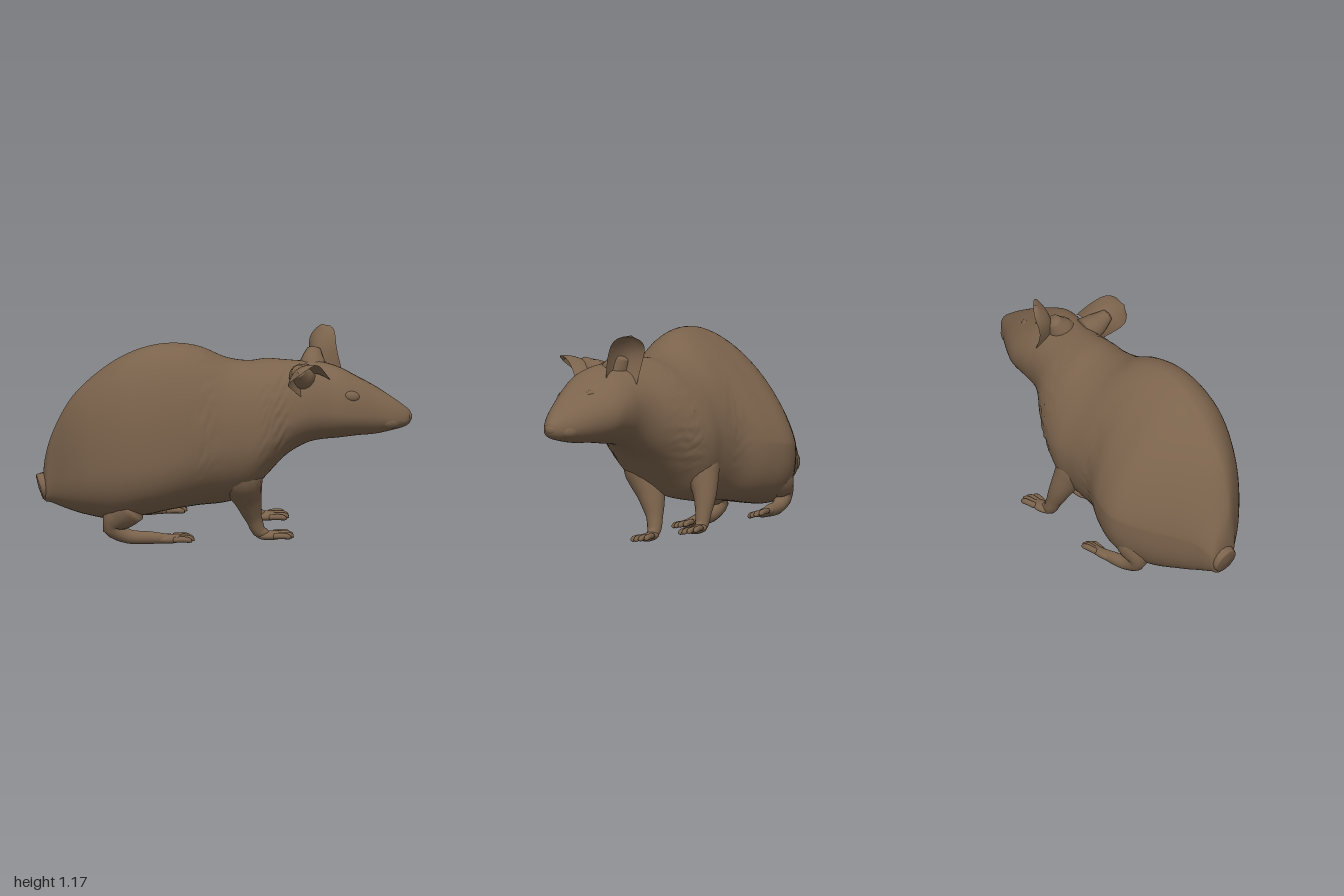
import * as THREE from 'three';

const fur = new THREE.MeshStandardMaterial({ color: 0x7b634c });
fur.name = 'brown fur';
fur.side = THREE.DoubleSide;
const V = (x, y, z) => new THREE.Vector3(x, y, z);
const { lerp, smoothstep } = THREE.MathUtils;

// Skin a list of rings (equal point counts); closed rings wrap around
function skin(rings, closed = true) {
  const n = rings[0].length, pos = [], idx = [];
  rings.forEach(r => r.forEach(p => pos.push(p.x, p.y, p.z)));
  for (let i = 0; i < rings.length - 1; i++) {
    for (let j = 0; j < (closed ? n : n - 1); j++) {
      const a = i * n + j, b = i * n + (j + 1) % n;
      idx.push(a, b, a + n, b, b + n, a + n);
    }
  }
  const g = new THREE.BufferGeometry();
  g.setAttribute('position', new THREE.Float32BufferAttribute(pos, 3));
  g.setIndex(idx);
  g.computeVertexNormals();
  return g;
}

// Rounded limb along [x, y, z, radius] stations
function limb(stations, steps = 20, sides = 14) {
  const curve = new THREE.CatmullRomCurve3(stations.map(s => V(s[0], s[1], s[2])));
  const fr = curve.computeFrenetFrames(steps), rings = [];
  for (let i = 0; i <= steps; i++) {
    const t = curve.getUtoTmapping(i / steps), f = t * (stations.length - 1);
    const k = Math.min(Math.floor(f), stations.length - 2);
    let r = lerp(stations[k][3], stations[k + 1][3], f - k);
    if (i === 0 || i === steps) r = 0.0005;
    const c = curve.getPoint(t), ring = [];
    for (let j = 0; j < sides; j++) {
      const a = j / sides * Math.PI * 2;
      ring.push(c.clone().addScaledVector(fr.normals[i], Math.cos(a) * r)
        .addScaledVector(fr.binormals[i], Math.sin(a) * r));
    }
    rings.push(ring);
  }
  return skin(rings);
}

// Cross-sections: x, top y z, bottom y z, left z y, right z y
const sections = [
  [-0.975, 0.34, -0.12, 0.28, -0.13, -0.11, 0.31, -0.14, 0.31],
  [-0.965, 0.46, -0.1, 0.22, -0.14, -0.05, 0.33, -0.2, 0.33],
  [-0.93, 0.6, -0.05, 0.21, -0.14, 0.0, 0.37, -0.22, 0.36],
  [-0.85, 0.77, 0, 0.18, -0.14, 0.11, 0.42, -0.25, 0.4],
  [-0.75, 0.89, 0.03, 0.15, -0.14, 0.21, 0.46, -0.31, 0.42],
  [-0.6, 1.01, 0.07, 0.125, -0.14, 0.3, 0.5, -0.41, 0.45],
  [-0.45, 1.08, 0.09, 0.145, -0.14, 0.34, 0.52, -0.47, 0.48],
  [-0.3, 1.105, 0.1, 0.175, -0.13, 0.35, 0.55, -0.43, 0.5],
  [-0.15, 1.085, 0.09, 0.195, -0.12, 0.345, 0.58, -0.345, 0.52],
  [0, 1.02, 0.07, 0.21, -0.11, 0.34, 0.6, -0.32, 0.55],
  [0.12, 1.0, 0.07, 0.25, -0.1, 0.33, 0.6, -0.32, 0.57],
  [0.22, 1.01, 0.07, 0.36, -0.07, 0.32, 0.64, -0.29, 0.61],
  [0.32, 1.005, 0.09, 0.47, -0.03, 0.3, 0.7, -0.23, 0.68],
  [0.42, 1.0, 0.12, 0.54, 0.03, 0.295, 0.74, -0.15, 0.75],
  [0.5, 1.0, 0.15, 0.57, 0.08, 0.315, 0.75, -0.11, 0.78],
  [0.6, 0.975, 0.18, 0.585, 0.12, 0.34, 0.74, -0.09, 0.78],
];
const faceSections = [
  [0.7, 0.925, 0.2, 0.6, 0.15, 0.325, 0.73, -0.065, 0.76],
  [0.8, 0.87, 0.2, 0.61, 0.17, 0.3, 0.72, 0, 0.74],
  [0.9, 0.805, 0.2, 0.632, 0.18, 0.275, 0.7, 0.08, 0.71],
  [0.96, 0.76, 0.195, 0.65, 0.185, 0.245, 0.69, 0.13, 0.7],
  [0.988, 0.735, 0.19, 0.672, 0.19, 0.215, 0.7, 0.16, 0.7],
  [0.995, 0.705, 0.19, 0.695, 0.19, 0.195, 0.7, 0.185, 0.7],
];

// Torso, neck and head as one skin with wrinkled fur at flank and nape
function bodyGeometry() {
  const all = sections.concat(faceSections);
  const rail = f => new THREE.CatmullRomCurve3(all.map(f), false, 'catmullrom', 0.5);
  const rails = [
    rail(s => V(s[0], s[1], s[2])), rail(s => V(s[0], s[6], s[5])),
    rail(s => V(s[0], s[3], s[4])), rail(s => V(s[0], s[8], s[7])),
  ];
  // Quadrant roundness: haunches, then belly and shoulders, then head
  const haunch = [0.92, 0.75, 0.75, 1.42], chest = [0.92, 0.9, 0.98, 1.12];
  const steps = 168, quarter = 18, rings = [];
  for (let i = 0; i <= steps; i++) {
    const [T, L, B, R] = rails.map(c => c.getPoint(i / steps));
    const x = T.x, ring = [], corners = [[T, L], [B, L], [B, R], [T, R]];
    const toChest = smoothstep(x, -0.4, -0.05), toHead = smoothstep(x, 0.2, 0.5);
    for (let q = 0; q < 4; q++) {
      const [v, h] = corners[q];
      const e = lerp(lerp(haunch[q], chest[q], toChest), 0.96, toHead);
      for (let j = 0; j < quarter; j++) {
        const t = (q % 2 ? 1 - j / quarter : j / quarter) * Math.PI / 2;
        const c = Math.pow(Math.max(Math.cos(t), 0), e), s = Math.pow(Math.sin(t), e);
        const p = V(x, h.y + (v.y - h.y) * c, v.z + (h.z - v.z) * s);
        const band = Math.exp(-(((x + 0.13) / 0.06) ** 2)) + Math.exp(-(((x - 0.25) / 0.08) ** 2));
        const wave = Math.sin(p.y * 95 + Math.sin(x * 55) * 2) * Math.sin(x * 60 + p.y * 17);
        const upper = smoothstep(p.y, 0.3, 0.55);
        p.z += Math.sign(p.z - v.z) * 0.008 * band * wave * upper * s;
        ring.push(p);
      }
    }
    rings.push(ring);
  }
  return skin(rings);
}

// Funnel-shaped ear from a wide root to a rounded tip; inner normal faces the opening
function earGeometry(root, tip, inner, half, curl) {
  const dir = tip.clone().sub(root), n = inner.clone();
  n.addScaledVector(dir, -n.dot(dir) / dir.lengthSq()).normalize();
  const side = n.clone().cross(dir).normalize(), rings = [];
  for (let i = 0; i <= 20; i++) {
    const u = i / 20, ring = [];
    const w = half * (u < 0.5 ? 0.9 + 0.1 * Math.sin(u * Math.PI) : Math.sqrt(1 - Math.pow(2 * u - 1, 3)));
    for (let j = 0; j <= 16; j++) {
      const v = j / 8 - 1;
      ring.push(root.clone().addScaledVector(dir, u).addScaledVector(side, v * w)
        .addScaledVector(n, curl * (v * v * (1.25 - u) - 0.4 * Math.sin(u * Math.PI))));
    }
    rings.push(ring);
  }
  return skin(rings, false);
}

export function createModel() {
  const model = new THREE.Group();
  model.name = 'rodent';
  const add = (name, geo, parent = model) => {
    const m = new THREE.Mesh(geo, fur);
    m.name = name;
    parent.add(m);
    return m;
  };
  const blob = (name, p, s, rot = [0, 0, 0]) => {
    const m = add(name, new THREE.SphereGeometry(1, 20, 14));
    m.position.set(...p);
    m.scale.set(...s);
    m.rotation.set(...rot);
  };

  add('body', bodyGeometry());
  add('tailStub', limb([[-0.88, 0.31, -0.12, 0.085], [-0.94, 0.3, -0.125, 0.08],
    [-0.98, 0.295, -0.13, 0.074], [-0.999, 0.29, -0.13, 0.066]]));

  // Ears, each with a fleshy base behind the cup
  add('rightEar', earGeometry(V(0.5, 0.96, 0.05), V(0.525, 1.178, -0.045), V(0.68, 0, -0.68), 0.098, 0.075));
  add('rightEarBase', limb([[0.47, 0.93, 0.12, 0.08], [0.47, 0.99, 0.075, 0.07], [0.48, 1.06, 0.035, 0.035]]));
  add('leftEar', earGeometry(V(0.425, 0.945, 0.25), V(0.36, 0.99, 0.468), V(0.5, -0.72, 0.2), 0.1, 0.08));
  add('leftEarBase', limb([[0.41, 0.92, 0.2, 0.08], [0.39, 0.945, 0.28, 0.065], [0.37, 0.985, 0.36, 0.03]]));

  // Eyes, nose and whisker pads
  blob('leftEye', [0.665, 0.83, 0.305], [0.045, 0.03, 0.025], [0, 0.2, -0.2]);
  blob('rightEye', [0.72, 0.868, 0.085], [0.045, 0.03, 0.025], [-0.9, -0.3, -0.3]);
  blob('nose', [0.982, 0.702, 0.19], [0.018, 0.025, 0.032]);
  blob('leftMuzzle', [0.88, 0.685, 0.24], [0.07, 0.042, 0.04], [0, 0.3, 0]);
  blob('rightMuzzle', [0.89, 0.69, 0.12], [0.07, 0.042, 0.04], [0, -0.4, 0]);

  // Legs, each with a flat paw rolled to the sloping stance, and four toes
  function leg(name, path, paw, length, width, roll) {
    const g = new THREE.Group();
    g.name = name;
    model.add(g);
    add('limb', limb(path), g);
    const [x, y, z] = paw, sole = add('paw', new THREE.SphereGeometry(1, 20, 12), g);
    sole.position.set(x, y, z);
    sole.scale.set(length, 0.025, width);
    sole.rotation.x = roll;
    for (let i = 0; i < 4; i++) {
      const k = i / 1.5 - 1, reach = length * 0.75 + 0.085 - 0.025 * Math.abs(k);
      const tz = z + k * width * 0.75, ez = z + k * width, ty = y - k * width * roll;
      add('toe', limb([[x + length * 0.2, ty + 0.004, tz, 0.016],
        [x + reach * 0.8, ty + 0.004, ez, 0.016], [x + reach, ty - 0.008, ez, 0.009]], 10, 8), g);
    }
  }
  leg('leftFrontLeg', [[0.05, 0.44, 0.15, 0.12], [0.08, 0.36, 0.125, 0.12], [0.12, 0.24, 0.07, 0.075],
    [0.155, 0.13, 0.03, 0.045], [0.19, 0.055, 0.015, 0.036], [0.25, 0.038, 0.012, 0.022]],
    [0.24, 0.036, 0.012], 0.075, 0.042, 0.15);
  leg('rightFrontLeg', [[0.05, 0.46, -0.2, 0.1], [0.08, 0.39, -0.225, 0.095], [0.12, 0.28, -0.265, 0.065],
    [0.16, 0.18, -0.28, 0.044], [0.19, 0.115, -0.285, 0.036], [0.25, 0.1, -0.29, 0.022]],
    [0.24, 0.1, -0.29], 0.07, 0.047, 0.2);
  leg('leftHindLeg', [[-0.5, 0.24, 0.13, 0.1], [-0.56, 0.18, 0.11, 0.09], [-0.62, 0.11, 0.09, 0.055],
    [-0.54, 0.052, 0.085, 0.04], [-0.4, 0.04, 0.085, 0.034], [-0.28, 0.033, 0.085, 0.022]],
    [-0.31, 0.034, 0.085], 0.085, 0.036, 0.2);
  leg('rightHindLeg', [[-0.46, 0.32, -0.35, 0.09], [-0.51, 0.26, -0.355, 0.085], [-0.55, 0.19, -0.36, 0.05],
    [-0.48, 0.14, -0.37, 0.038], [-0.38, 0.13, -0.38, 0.034], [-0.28, 0.128, -0.39, 0.022]],
    [-0.31, 0.128, -0.39], 0.08, 0.035, 0.3);
  return model;
}
